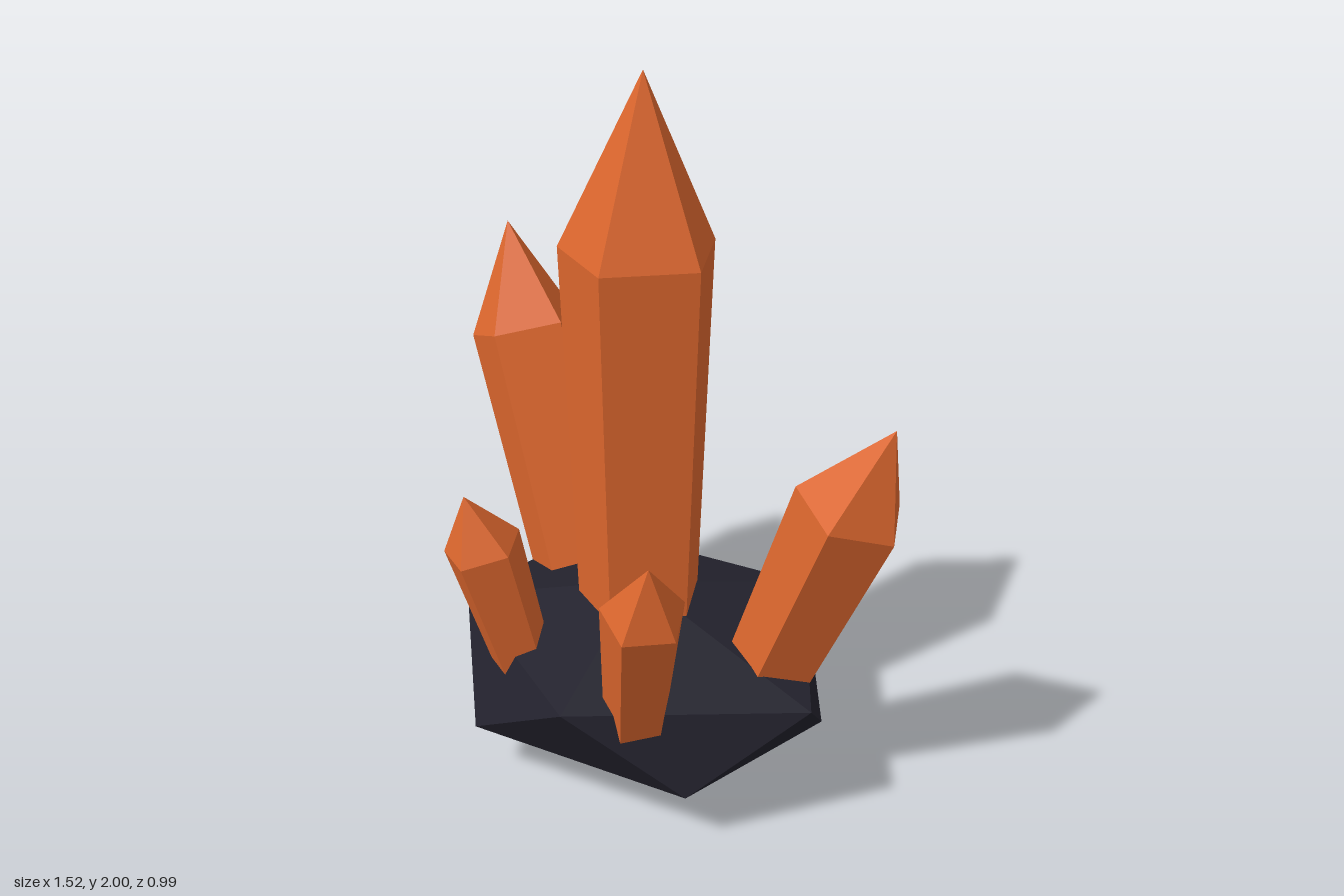
import * as THREE from 'three';

const v = (p) => new THREE.Vector3(...p);

// Closed faceted solid: top point, upper ring, lower ring, bottom point
function facetedSolid(top, upper, lower, bottom) {
  const pos = [];
  const tri = (...pts) => pts.forEach((p) => pos.push(p.x, p.y, p.z));
  const n = upper.length;
  for (let i = 0; i < n; i++) {
    const j = (i + 1) % n;
    tri(top, upper[j], upper[i]);
    tri(upper[i], upper[j], lower[i]);
    tri(lower[i], upper[j], lower[j]);
    tri(bottom, lower[i], lower[j]);
  }
  const geo = new THREE.BufferGeometry();
  geo.setAttribute('position', new THREE.Float32BufferAttribute(pos, 3));
  geo.computeVertexNormals();
  return geo;
}

// Five-sided shard that widens from base to shoulder and ends in a point
function crystalGeometry({ base, shoulder, tip, baseRadius, radius }) {
  const b = v(base), s = v(shoulder);
  const tilt = new THREE.Quaternion().setFromUnitVectors(
    new THREE.Vector3(0, 1, 0), s.clone().sub(b).normalize());
  const ring = (centre, r) => Array.from({ length: 5 }, (_, i) => {
    const a = (i / 5) * Math.PI * 2;
    return new THREE.Vector3(r * Math.cos(a), 0, r * Math.sin(a))
      .applyQuaternion(tilt).add(centre);
  });
  return facetedSolid(v(tip), ring(s, radius), ring(b, baseRadius), b);
}

export function createModel() {
  const group = new THREE.Group();
  const stone = new THREE.MeshStandardMaterial({ color: 0x23222d, flatShading: true });
  stone.name = 'dark stone';
  const orange = new THREE.MeshStandardMaterial({ color: 0xdd672e, flatShading: true });
  orange.name = 'orange crystal';

  const add = (name, geometry, material) => {
    const mesh = new THREE.Mesh(geometry, material);
    mesh.name = name;
    group.add(mesh);
  };

  // Irregular rock with two staggered rings
  const upper = [[0.635, 0.405, -0.02], [0.19, 0.405, 0.468], [-0.48, 0.385, 0.24],
    [-0.5, 0.4, -0.28], [0.19, 0.41, -0.495]].map(v);
  const lower = [[0.44, 0.16, 0.25], [-0.2, 0.16, 0.45], [-0.54, 0.18, 0],
    [-0.23, 0.15, -0.5], [0.47, 0.165, -0.27]].map(v);
  add('rockBase', facetedSolid(v([0, 0.54, 0]), upper, lower, v([-0.015, 0, 0])), stone);

  // Crystals growing out of the rock
  const crystals = {
    centreCrystal: { base: [0, 0.42, -0.01], shoulder: [-0.005, 1.525, -0.01],
      tip: [0.005, 2, -0.01], baseRadius: 0.178, radius: 0.22 },
    rightTallCrystal: { base: [-0.38, 0.4, -0.1], shoulder: [-0.63, 1.09, -0.14],
      tip: [-0.722, 1.39, -0.16], baseRadius: 0.132, radius: 0.167 },
    leftTallCrystal: { base: [0.385, 0.35, -0.115], shoulder: [0.616, 0.96, -0.16],
      tip: [0.725, 1.21, -0.18], baseRadius: 0.122, radius: 0.153 },
    leftFrontCrystal: { base: [0.27, 0.31, 0.27], shoulder: [0.388, 0.757, 0.355],
      tip: [0.445, 0.932, 0.395], baseRadius: 0.088, radius: 0.115 },
    rightFrontCrystal: { base: [-0.165, 0.34, 0.3], shoulder: [-0.21, 0.72, 0.388],
      tip: [-0.225, 0.885, 0.432], baseRadius: 0.088, radius: 0.112 },
  };
  for (const [name, spec] of Object.entries(crystals)) add(name, crystalGeometry(spec), orange);

  return group;
}
